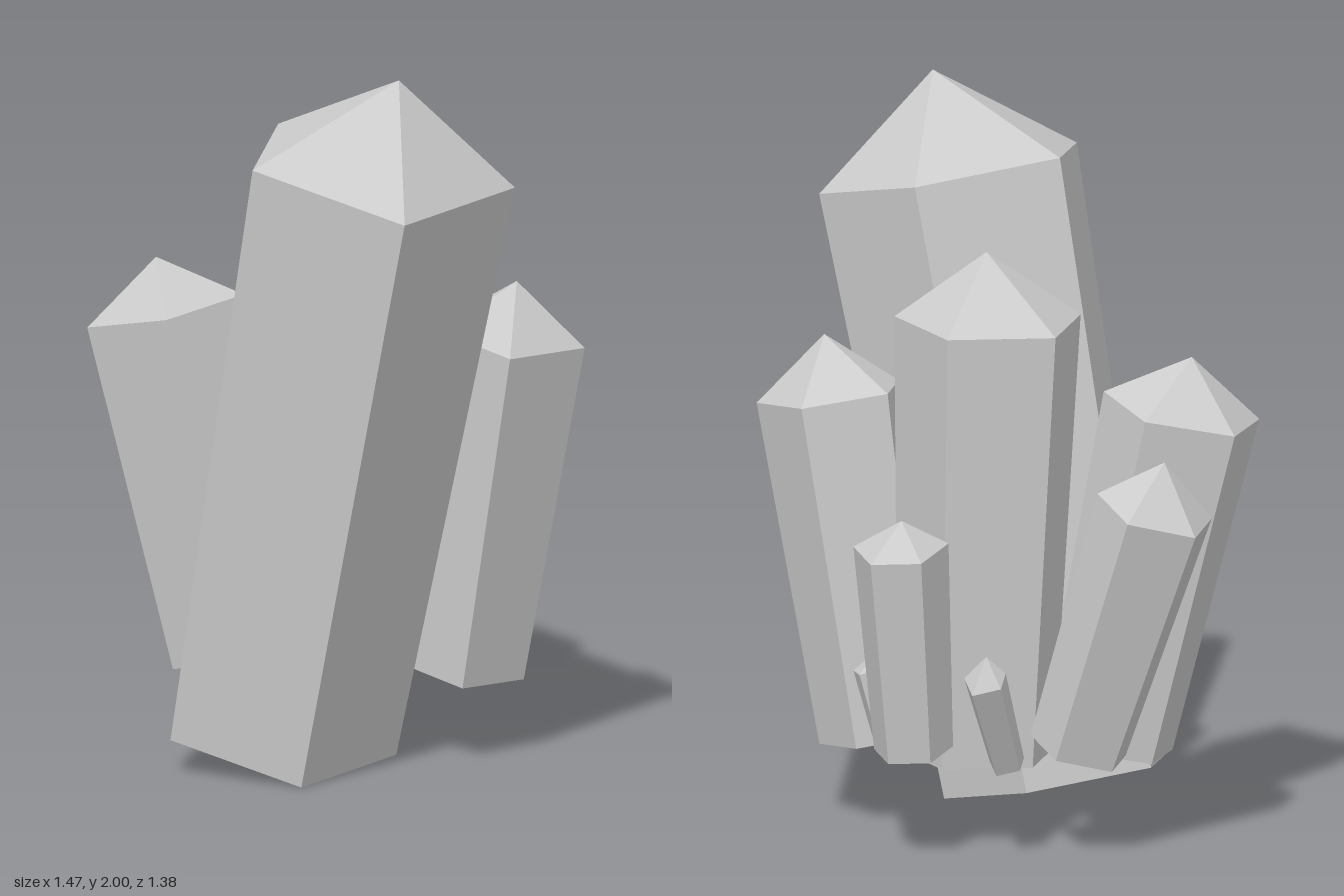
import * as THREE from 'three';

const material = new THREE.MeshStandardMaterial({ color: 0xcccccc, flatShading: true });

// Five-sided tapered prism with a pointed cap.
// outline: shoulder corners as [x, z], running back, right, front, front, left.
// Both rings lie square to the axis that joins base to shoulder height.
function crystal({ name, tip, shoulderY, base, taper, outline }) {
  const n = outline.length;
  const cx = outline.reduce((s, p) => s + p[0], 0) / n;
  const cz = outline.reduce((s, p) => s + p[1], 0) / n;
  const point = new THREE.Vector3(...tip);
  const shoulder = new THREE.Vector3(cx, shoulderY, cz);
  const foot = new THREE.Vector3(...base);
  const axis = shoulder.clone().sub(foot);

  const ring = (centre, scale) => outline.map(([x, z]) => {
    const dx = (x - cx) * scale, dz = (z - cz) * scale;
    const dy = -(axis.x * dx + axis.z * dz) / axis.y;
    return new THREE.Vector3(dx, dy, dz).add(centre);
  });
  const top = ring(shoulder, 1), bottom = ring(foot, taper);

  const corners = [];
  for (let i = 0; i < n; i++) {
    const j = (i + 1) % n;
    corners.push(point, top[j], top[i]);                                   // cap
    corners.push(top[i], top[j], bottom[j], top[i], bottom[j], bottom[i]); // side
    corners.push(foot, bottom[i], bottom[j]);                              // underside
  }
  const geometry = new THREE.BufferGeometry().setFromPoints(corners);
  geometry.computeVertexNormals();
  const mesh = new THREE.Mesh(geometry, material);
  mesh.name = name;
  return mesh;
}

const crystals = [
  { name: 'mainCrystal', tip: [0.525, 2, 0.375], shoulderY: 1.736, base: [0.035, 0.066, 0.29], taper: 0.86,
    outline: [[0.33, -0.01], [0.72, 0.1], [0.73, 0.62], [0.255, 0.69], [0.08, 0.34]] },
  { name: 'centreCrystal', tip: [-0.02, 1.67, -0.18], shoulderY: 1.48, base: [0, 0.24, -0.19], taper: 0.84,
    outline: [[-0.065, -0.445], [0.19, -0.325], [0.145, 0.025], [-0.2, 0.02], [-0.285, -0.235]] },
  { name: 'frontRightCrystal', tip: [-0.45, 1.35, 0.2], shoulderY: 1.2, base: [-0.235, 0.24, 0.11], taper: 0.84,
    outline: [[-0.45, -0.035], [-0.24, 0.075], [-0.29, 0.365], [-0.575, 0.35], [-0.635, 0.135]] },
  { name: 'leftCrystal', tip: [0.545, 1.35, -0.14], shoulderY: 1.19, base: [0.35, 0.23, -0.14], taper: 0.82,
    outline: [[0.475, -0.36], [0.69, -0.26], [0.65, 0.03], [0.39, 0], [0.305, -0.185]] },
  { name: 'rightCrystal', tip: [-0.61, 1.15, -0.18], shoulderY: 1.01, base: [-0.335, 0.295, -0.19], taper: 0.83,
    outline: [[-0.6, -0.35], [-0.45, -0.275], [-0.475, -0.05], [-0.685, -0.055], [-0.735, -0.215]] },
  { name: 'backCrystal', tip: [0.005, 0.98, -0.57], shoulderY: 0.895, base: [0.03, 0.3, -0.485], taper: 0.83,
    outline: [[0.025, -0.695], [0.145, -0.6], [0.1, -0.46], [-0.085, -0.47], [-0.1, -0.63]] },
  { name: 'smallRightCrystal', tip: [-0.23, 0.61, -0.5], shoulderY: 0.54, base: [-0.2, 0.27, -0.35], taper: 0.82,
    outline: [[-0.22, -0.555], [-0.16, -0.505], [-0.185, -0.45], [-0.265, -0.455], [-0.285, -0.51]] },
  { name: 'smallLeftCrystal', tip: [0.21, 0.54, -0.4], shoulderY: 0.495, base: [0.175, 0.28, -0.37], taper: 0.82,
    outline: [[0.22, -0.455], [0.27, -0.41], [0.235, -0.355], [0.185, -0.365], [0.175, -0.41]] },
];

export function createModel() {
  const group = new THREE.Group();
  group.name = 'crystalCluster';
  for (const spec of crystals) group.add(crystal(spec));
  return group;
}
